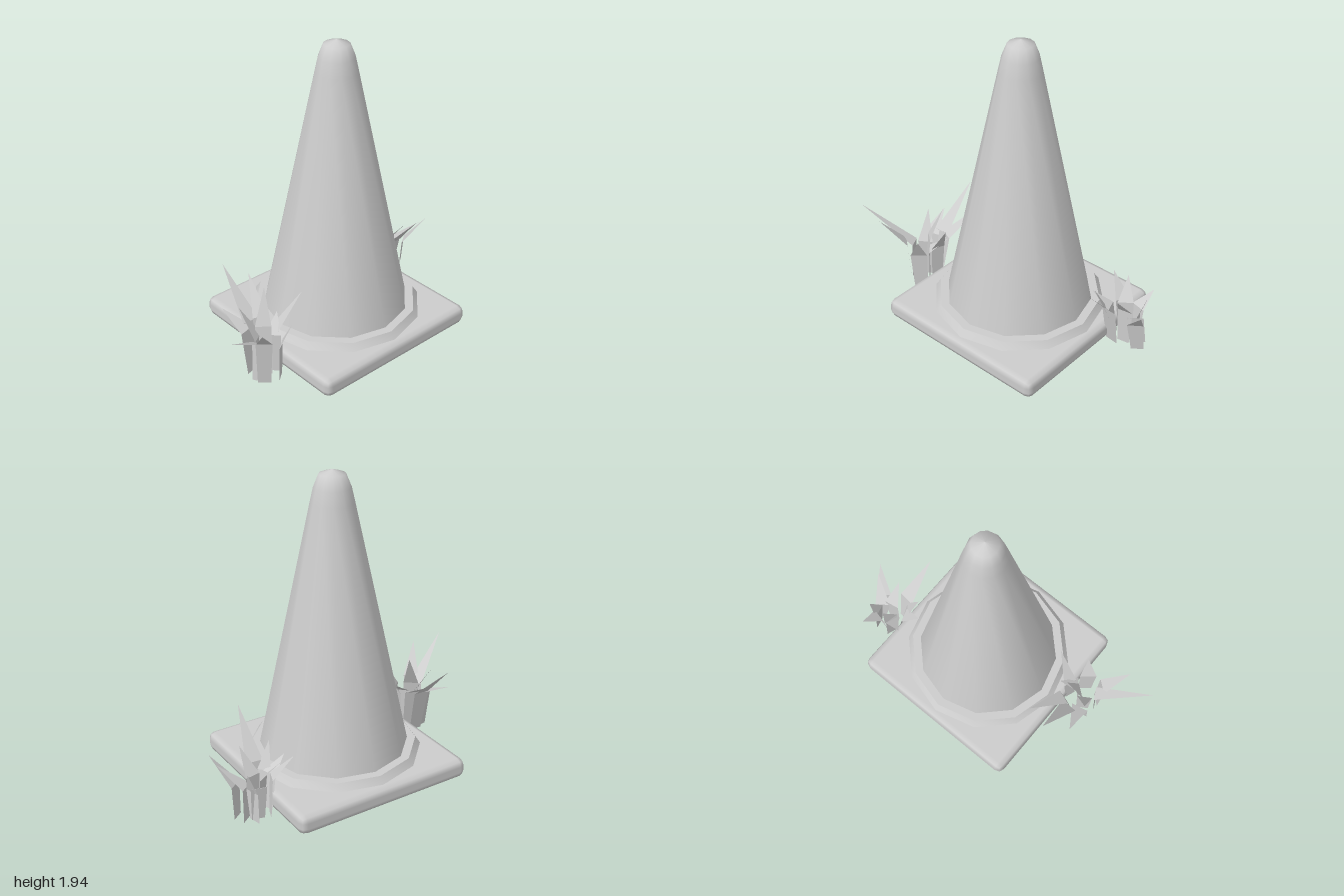
import * as THREE from 'three';
import { RoundedBoxGeometry } from 'three/addons/geometries/RoundedBoxGeometry.js';
import { toCreasedNormals } from 'three/addons/utils/BufferGeometryUtils.js';

const grey = new THREE.MeshStandardMaterial({ color: 0xcccccc, side: THREE.DoubleSide });
grey.name = 'plain grey';

function part(name, geometry, x = 0, y = 0, z = 0) {
  const mesh = new THREE.Mesh(geometry, grey);
  mesh.name = name;
  mesh.position.set(x, y, z);
  return mesh;
}

const lathe = (points) =>
  new THREE.LatheGeometry(points.map(([r, y]) => new THREE.Vector2(r, y)), 12);

// One bent blade: an upright strip to the bend, then a long pointed tip.
function bladeGeometry([bx, bz, mx, my, mz, tx, ty, tz, width]) {
  const base = new THREE.Vector3(bx, 0, bz);
  const bend = new THREE.Vector3(mx, my, mz);
  const tip = new THREE.Vector3(tx, ty, tz);
  const side = new THREE.Vector3(tz - bz, 0, bx - tx).normalize().multiplyScalar(width / 2);
  const bl = base.clone().addScaledVector(side, -0.8);
  const br = base.clone().addScaledVector(side, 0.8);
  const ml = bend.clone().sub(side);
  const mr = bend.clone().add(side);
  const geometry = new THREE.BufferGeometry().setFromPoints([bl, br, mr, bl, mr, ml, ml, mr, tip]);
  geometry.computeVertexNormals();
  return geometry;
}

function grassClump(name, blades) {
  const clump = new THREE.Group();
  clump.name = name;
  blades.forEach((b) => clump.add(part('grassBlade', bladeGeometry(b))));
  return clump;
}

// Each blade: base x, z; bend x, y, z; tip x, y, z; width.
const rightBlades = [
  [-0.70, 0.18, -0.68, 0.27, 0.18, -1.00, 0.51, 0.34, 0.09],
  [-0.68, 0.22, -0.69, 0.30, 0.24, -0.80, 0.48, 0.37, 0.10],
  [-0.66, 0.08, -0.66, 0.28, 0.04, -0.71, 0.37, -0.14, 0.11],
  [-0.60, 0.06, -0.60, 0.30, 0.00, -0.59, 0.57, -0.28, 0.11],
  [-0.56, 0.08, -0.54, 0.31, 0.02, -0.44, 0.47, -0.22, 0.10],
  [-0.52, 0.14, -0.51, 0.28, 0.13, -0.36, 0.51, 0.20, 0.09],
  [-0.57, 0.24, -0.57, 0.25, 0.25, -0.52, 0.40, 0.30, 0.11],
  [-0.62, 0.16, -0.60, 0.32, 0.12, -0.53, 0.54, 0.05, 0.10],
  [-0.64, 0.12, -0.64, 0.26, 0.12, -0.70, 0.45, 0.02, 0.10],
  [-0.56, 0.17, -0.56, 0.26, 0.16, -0.46, 0.35, 0.08, 0.10],
];
const leftBlades = [
  [0.72, -0.16, 0.72, 0.27, -0.11, 0.69, 0.54, 0.13, 0.11],
  [0.89, -0.20, 0.88, 0.20, -0.17, 0.99, 0.38, -0.06, 0.10],
  [0.86, -0.26, 0.84, 0.20, -0.23, 0.97, 0.33, -0.11, 0.10],
  [0.80, -0.29, 0.80, 0.22, -0.31, 0.83, 0.30, -0.43, 0.10],
  [0.72, -0.29, 0.70, 0.25, -0.28, 0.58, 0.38, -0.34, 0.10],
  [0.70, -0.22, 0.67, 0.22, -0.20, 0.55, 0.30, -0.17, 0.10],
  [0.78, -0.20, 0.78, 0.24, -0.20, 0.80, 0.39, -0.08, 0.10],
  [0.76, -0.25, 0.74, 0.25, -0.26, 0.68, 0.38, -0.36, 0.10],
  [0.83, -0.30, 0.83, 0.19, -0.28, 0.87, 0.33, -0.31, 0.10],
  [0.71, -0.19, 0.68, 0.22, -0.15, 0.61, 0.38, -0.10, 0.09],
];

export function createModel() {
  const model = new THREE.Group();
  const cx = 0.09;

  // Square foot with softened rim
  model.add(part('basePlate', new RoundedBoxGeometry(1.195, 0.125, 1.2, 1, 0.044), cx, 0.0625, 0));

  // Bevelled collar around the cone foot
  const collar = toCreasedNormals(lathe([[0.555, 0.12], [0.52, 0.17], [0.44, 0.17]]), 0.6);
  model.add(part('collar', collar, cx));

  // Twelve-sided cone with a rounded tip
  const cone = lathe([[0.467, 0.165], [0.132, 1.74], [0.112, 1.83], [0.08, 1.91], [0, 1.937]]);
  model.add(part('cone', cone, cx));

  // Grass growing against both sides
  model.add(grassClump('rightGrass', rightBlades));
  model.add(grassClump('leftGrass', leftBlades));
  return model;
}
